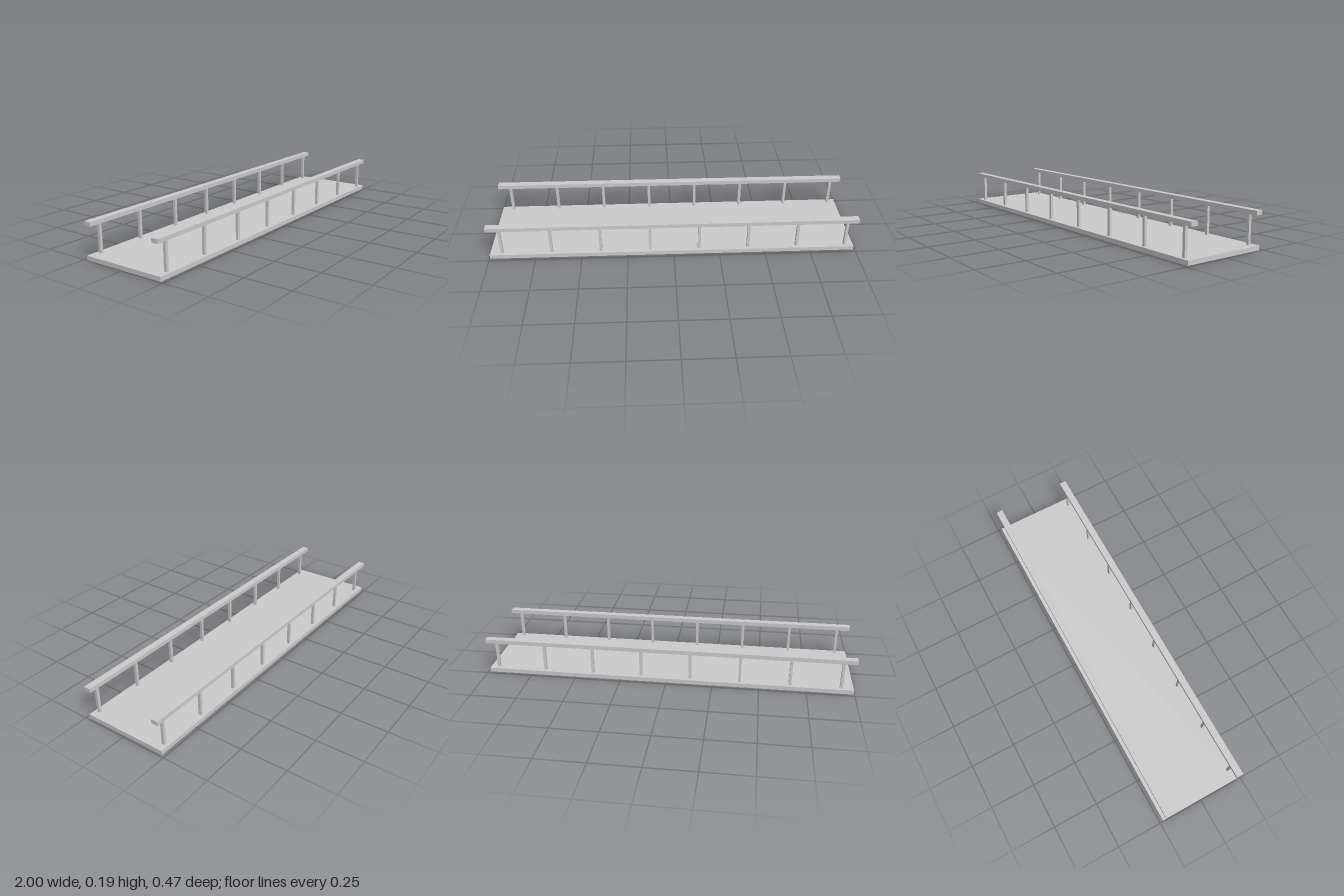
import * as THREE from 'three';

export function createModel() {
  const group = new THREE.Group();
  const material = new THREE.MeshStandardMaterial({ color: 0xcccccc, flatShading: true });

  // Box given by its size and its centre in x and z, standing on a bottom height
  function addBox(name, [w, h, d], x, bottom, z) {
    const mesh = new THREE.Mesh(new THREE.BoxGeometry(w, h, d), material);
    mesh.name = name;
    mesh.position.set(x, bottom + h / 2, z);
    group.add(mesh);
  }

  const deckTop = 0.023;
  const railBottom = 0.173;

  // Flat walkway
  addBox('deck', [1.986, deckTop, 0.466], -0.003, 0, 0);

  // Handrail and its row of posts along each side
  const sides = [
    { label: 'front', railZ: 0.2095, postZ: 0.2095 },
    { label: 'back', railZ: -0.212, postZ: -0.207 },
  ];
  for (const { label, railZ, postZ } of sides) {
    addBox(`${label}Handrail`, [2, 0.022, 0.037], 0, railBottom, railZ);
    for (let i = 0; i < 8; i++) {
      addBox(`${label}Post${i + 1}`, [0.015, railBottom - deckTop, 0.015], -0.932 + i * 0.268, deckTop, postZ);
    }
  }

  return group;
}
